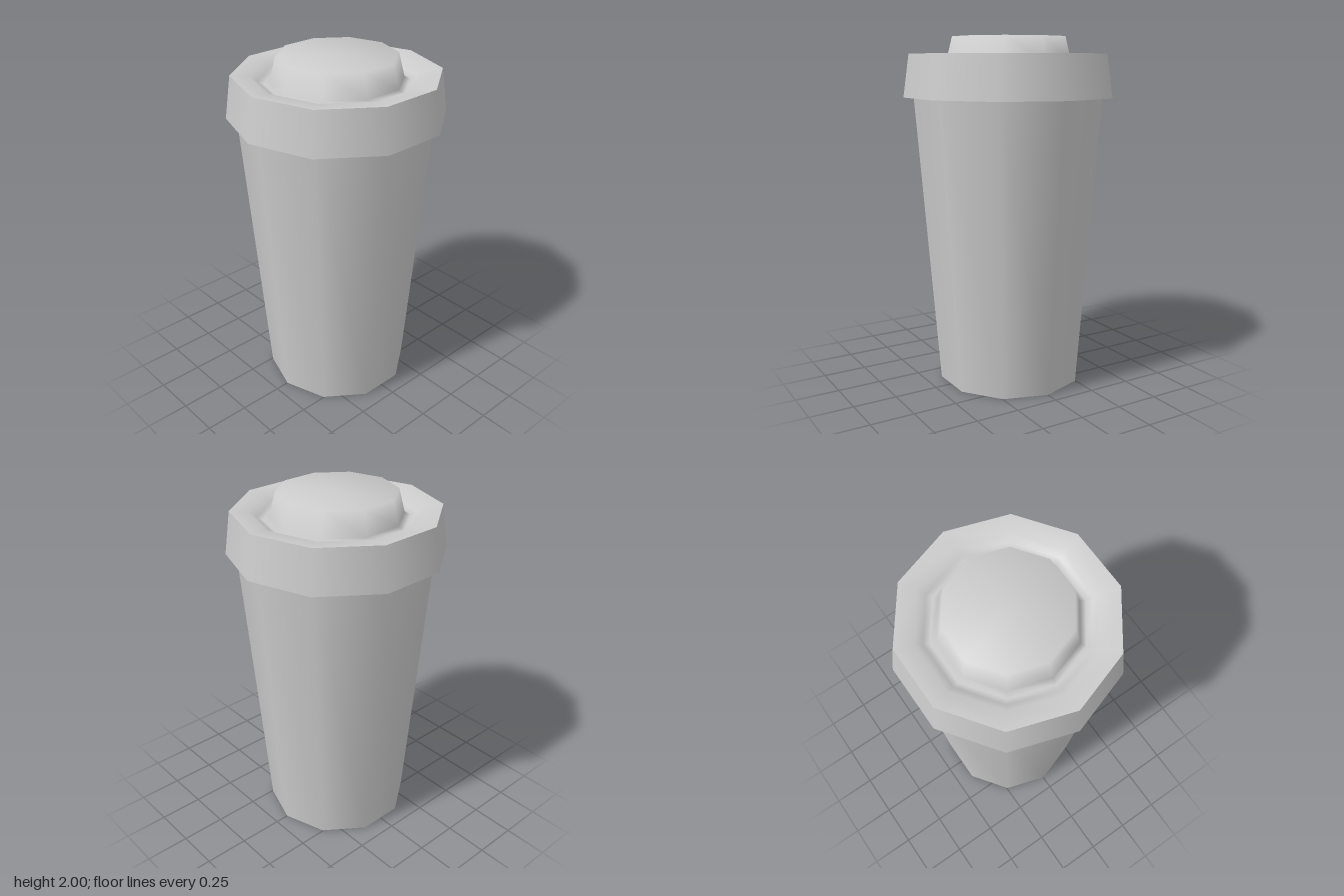
import * as THREE from 'three';

const SIDES = 10;
const material = new THREE.MeshStandardMaterial({ color: 0xcccccc });

// Ten-sided turned surface from [radius, height] points; each one is smooth in itself,
// so separate surfaces meet in sharp edges. A corner lies on the x axis.
function turned(name, profile) {
  const points = profile.map(([r, y]) => new THREE.Vector2(r, y));
  const mesh = new THREE.Mesh(new THREE.LatheGeometry(points, SIDES, Math.PI / 2), material);
  mesh.name = name;
  return mesh;
}

export function createModel() {
  const model = new THREE.Group();
  model.name = 'takeawayCup';

  // Tapered cup with a flat base
  const cup = new THREE.Group();
  cup.name = 'cup';
  cup.add(
    turned('cupBase', [[0, 0], [0.42, 0]]),
    turned('cupWall', [[0.42, 0], [0.55, 1.665]])
  );

  // Lid: overhanging rim, then a sunken groove around the raised centre
  const lid = new THREE.Group();
  lid.name = 'lid';
  lid.add(
    turned('lidUnderside', [[0.55, 1.665], [0.607, 1.665]]),
    turned('lidRim', [[0.607, 1.665], [0.573, 1.905]]),
    turned('lidTop', [
      [0.573, 1.905], [0.47, 1.897], [0.43, 1.865], [0.395, 1.852],
      [0.363, 1.868], [0.33, 2], [0, 2],
    ])
  );

  model.add(cup, lid);
  return model;
}
